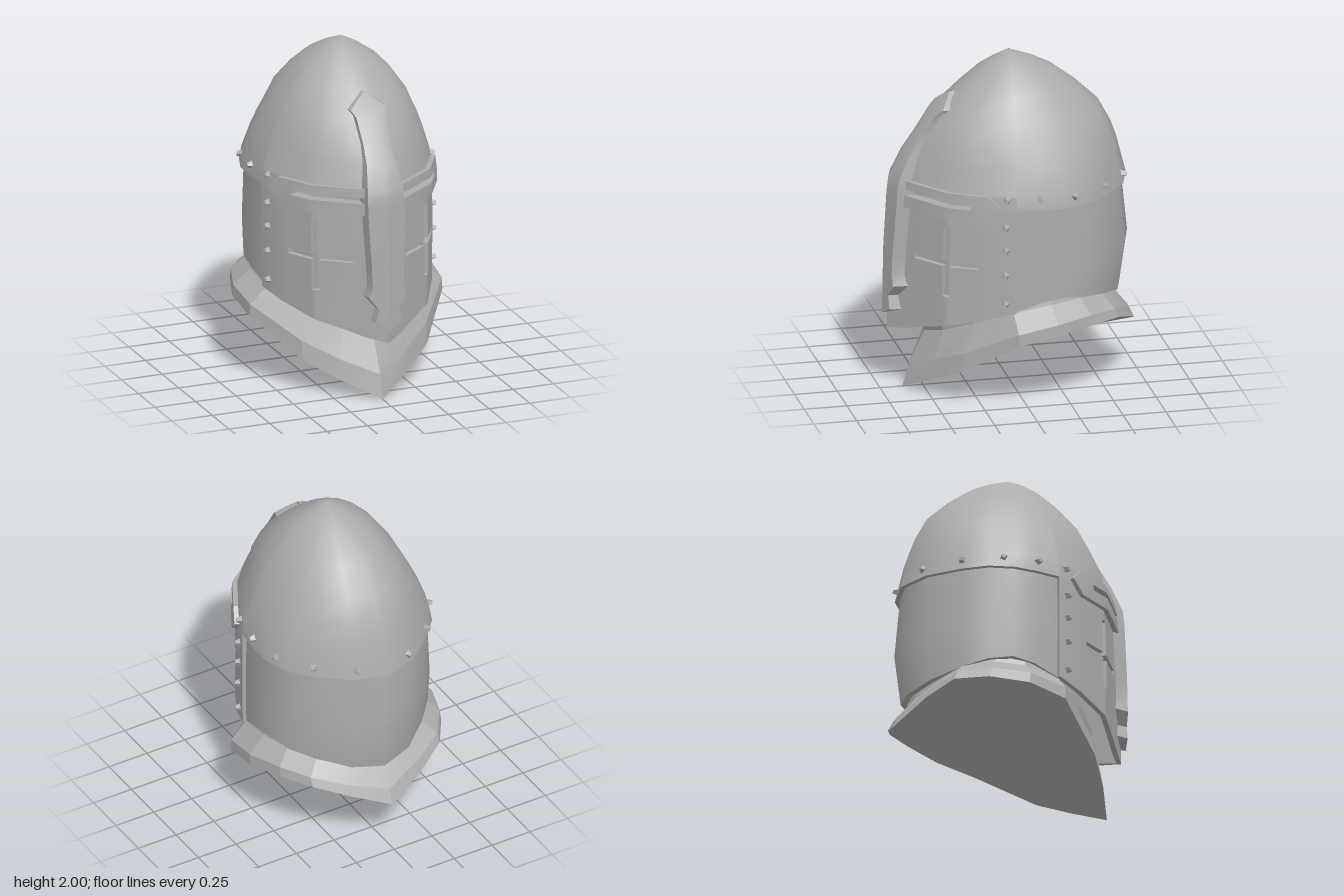
import * as THREE from 'three';
import { toCreasedNormals } from 'three/addons/utils/BufferGeometryUtils.js';

// half of the brow cross-section [x, z], front to back (normalised to 0.53 wide, 0.68 deep)
const HALF = [[0, 0.68], [0.1, 0.61], [0.21, 0.53], [0.35, 0.425], [0.465, 0.22], [0.515, 0.08],
  [0.53, -0.08], [0.525, -0.22], [0.475, -0.36], [0.37, -0.48], [0.2, -0.62], [0, -0.68]];
// height, half width, front depth, back depth
const PROFILE = [[0.37, 0.53, 0.71, 0.64], [0.54, 0.53, 0.705, 0.67], [0.85, 0.535, 0.7, 0.715],
  [1.2, 0.535, 0.68, 0.685], [1.28, 0.525, 0.67, 0.665], [1.42, 0.48, 0.6, 0.63], [1.52, 0.44, 0.53, 0.595],
  [1.66, 0.375, 0.43, 0.52], [1.79, 0.285, 0.29, 0.385], [1.87, 0.21, 0.2, 0.28], [1.94, 0.11, 0.1, 0.15],
  [2, 0.003, 0.003, 0.003]];

const lerp = THREE.MathUtils.lerp;

function profileAt(y) {
  let i = 0;
  while (i < PROFILE.length - 2 && y > PROFILE[i + 1][0]) i++;
  const a = PROFILE[i], b = PROFILE[i + 1];
  const t = THREE.MathUtils.clamp((y - a[0]) / (b[0] - a[0]), 0, 1);
  return [1, 2, 3].map(k => lerp(a[k], b[k], t));
}

// point [x, z] on the right-hand half of the shell; s runs 0 (front) to 11 (back)
function section(s, y) {
  const m = Math.abs(s), i = Math.min(10, Math.floor(m)), t = m - i;
  let x = lerp(HALF[i][0], HALF[i + 1][0], t) / 0.53, z = lerp(HALF[i][1], HALF[i + 1][1], t) / 0.68;
  const round = THREE.MathUtils.smoothstep(y, 1.22, 1.75), l = Math.hypot(x, z);
  x = lerp(x, x / l, round);
  z = lerp(z, z / l, round);
  const [w, f, b] = profileAt(y);
  return [x * w * (s < 0 ? -1 : 1), z * (z > 0 ? f : b)];
}

function normalAt(s, y) {
  if (s < 0.001) return [0, 1];
  if (s > 10.999) return [0, -1];
  const a = section(s - 0.05, y), b = section(Math.min(11, s + 0.05), y);
  const dx = b[0] - a[0], dz = b[1] - a[1], l = Math.hypot(dx, dz) || 1;
  return [-dz / l, dx / l];
}

function surface(s, y, off, side = 1) {
  const [x, z] = section(s, y), [nx, nz] = normalAt(s, y);
  const o = off * Math.min(1, profileAt(y)[0] / 0.3);
  return [side * Math.max(0, x + nx * o), y, z + nz * o];
}

// section parameter for a depth z
function sAt(z) {
  let i = 0;
  while (i < 10 && z < HALF[i + 1][1]) i++;
  return i + (HALF[i][1] - z) / (HALF[i][1] - HALF[i + 1][1]);
}

function quad(out, a, b, c, d) {
  out.push(...a, ...b, ...c, ...a, ...c, ...d);
}

function geometryOf(out, crease) {
  const g = new THREE.BufferGeometry();
  g.setAttribute('position', new THREE.Float32BufferAttribute(out, 3));
  return toCreasedNormals(g, crease);
}

// thick mirrored plate on the shell; kind: 1 solid, 0 open, 2 recessed
function panel(ss, ys, off, thick, kind = () => 1, yMap = (s, y) => y) {
  const out = [], nx = ss.length - 1, ny = ys.length - 1;
  const type = (i, j) => {
    if (i < 0) return ss[0] === 0 ? 1 : 0;
    if (i >= nx) return ss[nx] === 11 ? 1 : 0;
    if (j < 0 || j >= ny) return 0;
    return kind((ss[i] + ss[i + 1]) / 2, (ys[j] + ys[j + 1]) / 2);
  };
  for (const side of [1, -1]) {
    const p = (i, j, o) => surface(ss[i], yMap(ss[i], ys[j]), o, side);
    const add = (a, b, c, d) => side > 0 ? quad(out, a, b, c, d) : quad(out, b, a, d, c);
    for (let i = 0; i < nx; i++) for (let j = 0; j < ny; j++) {
      const k = type(i, j), inn = off - thick;
      const c = [[i, j], [i + 1, j], [i + 1, j + 1], [i, j + 1]];
      if (k === 1) add(...c.map(q => p(...q, off)));
      if (k !== 0) add(...c.map(q => p(...q, inn)));
      if (k !== 1) continue;
      [[i, j - 1], [i + 1, j], [i, j + 1], [i - 1, j]].forEach((n, e) => {
        if (type(...n) === 1) return;
        const a = c[e], b = c[(e + 1) % 4];
        add(p(...a, inn), p(...b, inn), p(...b, off), p(...a, off));
      });
    }
  }
  return geometryOf(out, 0.65);
}

// central raised bar: [height, half width]
const BAR = [[0.46, 0.003], [0.5, 0.08], [0.58, 0.06], [0.65, 0.115], [0.71, 0.095], [0.85, 0.1], [1.13, 0.112],
  [1.2, 0.112], [1.28, 0.11], [1.42, 0.09], [1.52, 0.083], [1.66, 0.09], [1.69, 0.108], [1.715, 0.08], [1.77, 0.003]];

function frontZ(x, y) {
  let a = 0, b = 5;
  for (let k = 0; k < 25; k++) {
    const m = (a + b) / 2;
    if (section(m, y)[0] < x) a = m; else b = m;
  }
  return section(a, y)[1];
}

function barGeometry() {
  const out = [];
  const rows = BAR.map(([y, w]) => {
    const zc = frontZ(0, y) + 0.032, zs = frontZ(w, y);
    return { y, w, zc, ze: Math.max(zs + 0.03, zc - 0.035 * w / 0.11), zb: zs - 0.03 };
  });
  for (let i = 0; i < rows.length - 1; i++) {
    const a = rows[i], b = rows[i + 1];
    const mid = r => [0, r.y, r.zc];
    const edge = (r, d) => [d * r.w, r.y, r.ze], back = (r, d) => [d * r.w * 1.08, r.y, r.zb];
    quad(out, mid(a), edge(a, 1), edge(b, 1), mid(b));
    quad(out, edge(a, -1), mid(a), mid(b), edge(b, -1));
    quad(out, edge(a, 1), back(a, 1), back(b, 1), edge(b, 1));
    quad(out, back(a, -1), edge(a, -1), edge(b, -1), back(b, -1));
  }
  return geometryOf(out, 0.6);
}

// neck guard: lower rim and upper ring, half each, front to back
const RIM = [[0, 0, 0.62], [0.2, 0.1, 0.5], [0.38, 0.2, 0.36], [0.595, 0.405, 0.07], [0.605, 0.455, -0.16],
  [0.53, 0.48, -0.38], [0.42, 0.475, -0.55], [0.25, 0.41, -0.645], [0, 0.31, -0.735]];
const NECK = [[0, 0.33, 0.49], [0.17, 0.385, 0.42], [0.33, 0.47, 0.28], [0.49, 0.57, 0.08], [0.5, 0.61, -0.14],
  [0.45, 0.62, -0.32], [0.35, 0.595, -0.47], [0.2, 0.55, -0.55], [0, 0.51, -0.6]];

function collarGeometry() {
  const out = [], centre = [0, 0.24, -0.1];
  const mid = RIM.map((r, i) => [lerp(r[0], NECK[i][0], 0.25) * 1.04, lerp(r[1], NECK[i][1], 0.42), lerp(r[2], NECK[i][2], 0.3)]);
  const top = NECK.map(([x, y, z]) => [x * 0.96, y + 0.07, z > 0 ? z * 1.06 : z * 0.97]);
  const rings = [RIM, mid, NECK, top];
  for (const d of [1, -1]) {
    const m = p => [p[0] * d, p[1], p[2]];
    for (let i = 0; i < RIM.length - 1; i++) {
      for (let k = 0; k < 3; k++) {
        const q = [rings[k][i], rings[k][i + 1], rings[k + 1][i + 1], rings[k + 1][i]].map(m);
        quad(out, ...(d > 0 ? q : [q[1], q[0], q[3], q[2]]));
      }
      const [a, b] = [m(RIM[i]), m(RIM[i + 1])];
      out.push(...centre, ...(d > 0 ? b : a), ...(d > 0 ? a : b));
    }
  }
  return geometryOf(out, 0.2);
}

export function createModel() {
  const model = new THREE.Group();
  const steel = new THREE.MeshStandardMaterial({ color: 0xacacac, side: THREE.DoubleSide });
  steel.name = 'steel';
  const add = (name, geometry) => {
    const mesh = new THREE.Mesh(geometry, steel);
    mesh.name = name;
    model.add(mesh);
    return mesh;
  };
  const within = (v, a, b) => v > a && v < b;
  const sorted = list => [...new Set(list)].sort((a, b) => a - b);
  const SIDE = 5.08;
  const inSlit = (s, y) => within(s, sAt(0.62), sAt(0.31)) && within(y, 1.2, 1.235);

  // domed skull, open over the face plate
  add('skull', panel(sorted([0, 0.5, 1, 2, 3, 4, 5, SIDE, 6, 7, 8, 9, 10, 11]), PROFILE.slice(3).map(r => r[0]), 0, 0.04,
    (s, y) => (s < SIDE && y < 1.28 ? 0 : 1)));

  // face plate with eye slits and recessed breath crosses
  const faceBottom = [0.37, 0.39, 0.43, 0.475, 0.535, 0.575, 0.6];
  const faceS = sorted([0, 1, 2, 3, 4, 5, SIDE, ...[0.62, 0.57, 0.447, 0.413, 0.31, 0.27].map(sAt)]);
  add('facePlate', panel(faceS, [0.37, 0.65, 0.833, 0.867, 1.07, 1.2, 1.235, 1.28], 0, 0.03, (s, y) => {
    if (inSlit(s, y)) return 0;
    const upright = within(s, sAt(0.447), sAt(0.413)) && within(y, 0.65, 1.07);
    const across = within(s, sAt(0.57), sAt(0.27)) && within(y, 0.833, 0.867);
    return upright || across ? 2 : 1;
  }, (s, y) => {
    const i = Math.floor(s);
    return y === 0.37 ? lerp(faceBottom[i], faceBottom[i + 1], s - i) : y;
  }));

  // back plate tucked under the skull and face plate
  const backBottom = [0.575, 0.63, 0.65, 0.63, 0.6, 0.555, 0.53];
  add('backPlate', panel([4.9, 5, 6, 7, 8, 9, 10, 11], [0.54, 0.85, 1.24], -0.022, 0.035, () => 1,
    (s, y) => (y === 0.54 ? backBottom[Math.max(0, Math.floor(s) - 5)] : y)));

  // raised cross: arms around the eye slits and the central bar
  const tip = sAt(0.15);
  add('browArms', panel(sorted([1, 2, 3, 4, tip, ...[0.64, 0.62, 0.31].map(sAt)]), [1.13, 1.2, 1.235, 1.285], 0.028, 0.04,
    (s, y) => (inSlit(s, y) ? 0 : 1), (s, y) => (s === tip ? 1.212 + (y - 1.21) * 0.02 : y)));
  add('centralBar', barGeometry());
  add('neckGuard', collarGeometry());

  // rivets along the skull rim and the face plate edge
  const rivet = new THREE.CylinderGeometry(0.014, 0.026, 0.035, 4).toNonIndexed();
  rivet.computeVertexNormals();
  const spots = [[0.12, 1.265], [-0.07, 1.265], [-0.28, 1.26], [-0.48, 1.255], [-0.63, 1.25],
    [0.125, 1.1], [0.125, 0.96], [0.125, 0.81], [0.125, 0.635]];
  for (const side of [1, -1]) for (const [z, y] of spots) {
    const s = sAt(z), [nx, nz] = normalAt(s, y);
    const mesh = add('rivet', rivet);
    mesh.position.set(...surface(s, y, 0.01, side));
    mesh.quaternion.setFromUnitVectors(new THREE.Vector3(0, 1, 0), new THREE.Vector3(side * nx, 0, nz));
  }
  return model;
}
